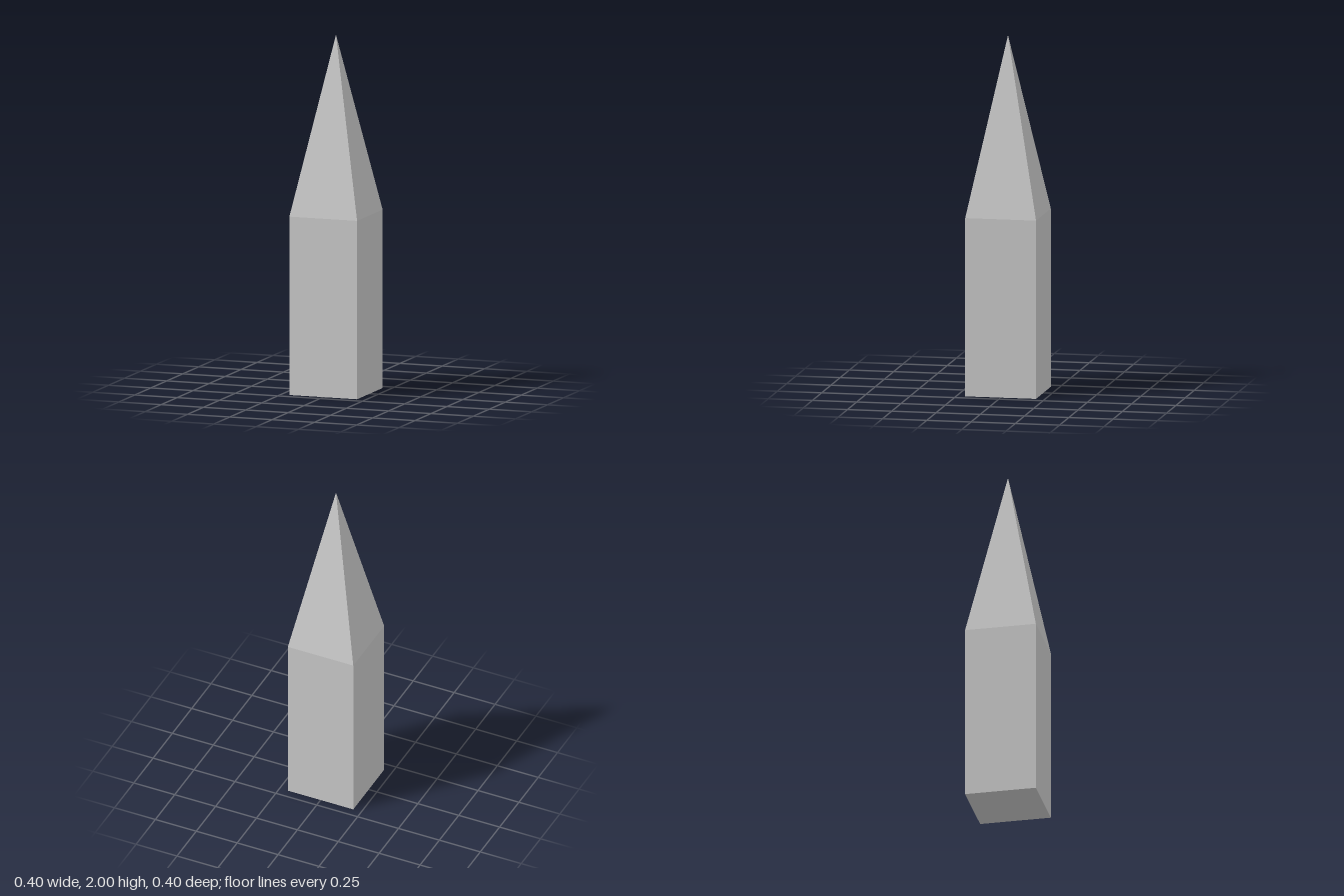
import * as THREE from 'three';

const WIDTH = 0.4;
const SHAFT_HEIGHT = 1;
const SPIRE_HEIGHT = 1;

export function createModel() {
  const model = new THREE.Group();
  model.name = 'obelisk';
  const material = new THREE.MeshStandardMaterial({ color: 0xcccccc, flatShading: true });

  // Square shaft standing on the ground
  const shaft = new THREE.Mesh(new THREE.BoxGeometry(WIDTH, SHAFT_HEIGHT, WIDTH), material);
  shaft.name = 'shaft';
  shaft.position.y = SHAFT_HEIGHT / 2;
  model.add(shaft);

  // Four-sided spire: open cone turned so its sides line up with the shaft
  const spireGeometry = new THREE.ConeGeometry(WIDTH / Math.SQRT2, SPIRE_HEIGHT, 4, 1, true);
  spireGeometry.rotateY(Math.PI / 4);
  const spire = new THREE.Mesh(spireGeometry, material);
  spire.name = 'spire';
  spire.position.y = SHAFT_HEIGHT + SPIRE_HEIGHT / 2;
  model.add(spire);

  return model;
}
